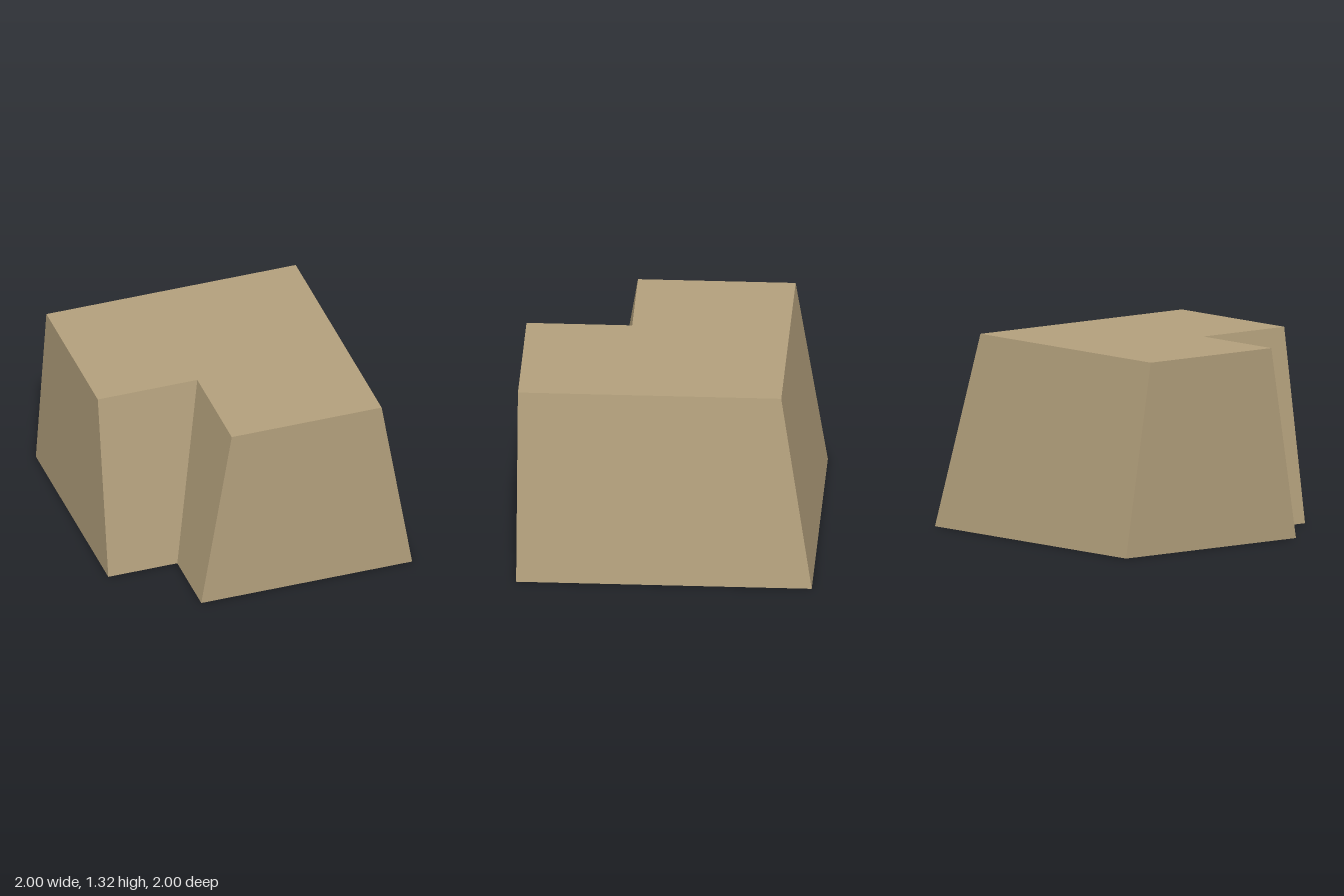
import * as THREE from 'three';

const HEIGHT = 1.317;
const INSET = 0.218; // how far the sloping walls lean over the full height
const NOTCH_X = -0.507;
const NOTCH_Z = 0.503;

export function createModel() {
  const tan = new THREE.MeshStandardMaterial({ color: 0xb3a07c });
  tan.name = 'tan';

  // L-shaped footprint, drawn as (x, -z)
  const footprint = new THREE.Shape([
    [NOTCH_X, -1], [1, -1], [1, 1], [-1, 1], [-1, -NOTCH_Z], [NOTCH_X, -NOTCH_Z],
  ].map(([x, y]) => new THREE.Vector2(x, y)));
  const geometry = new THREE.ExtrudeGeometry(footprint, { depth: HEIGHT, bevelEnabled: false });
  geometry.rotateX(-Math.PI / 2);

  // Lean the right, back and notch walls inward; the two cut ends stay upright
  const near = (a, b) => Math.abs(a - b) < 1e-4;
  const p = geometry.attributes.position;
  for (let i = 0; i < p.count; i++) {
    if (p.getY(i) < HEIGHT / 2) continue;
    const x = p.getX(i), z = p.getZ(i);
    if (near(x, 1)) p.setX(i, x - INSET);
    if (near(x, NOTCH_X)) p.setX(i, x + INSET);
    if (near(z, -1)) p.setZ(i, z + INSET);
    if (near(z, NOTCH_Z)) p.setZ(i, z - INSET);
  }
  geometry.computeVertexNormals();

  const block = new THREE.Mesh(geometry, tan);
  block.name = 'taperedCornerBlock';

  const model = new THREE.Group();
  model.name = 'cornerEmbankment';
  model.add(block);
  return model;
}
